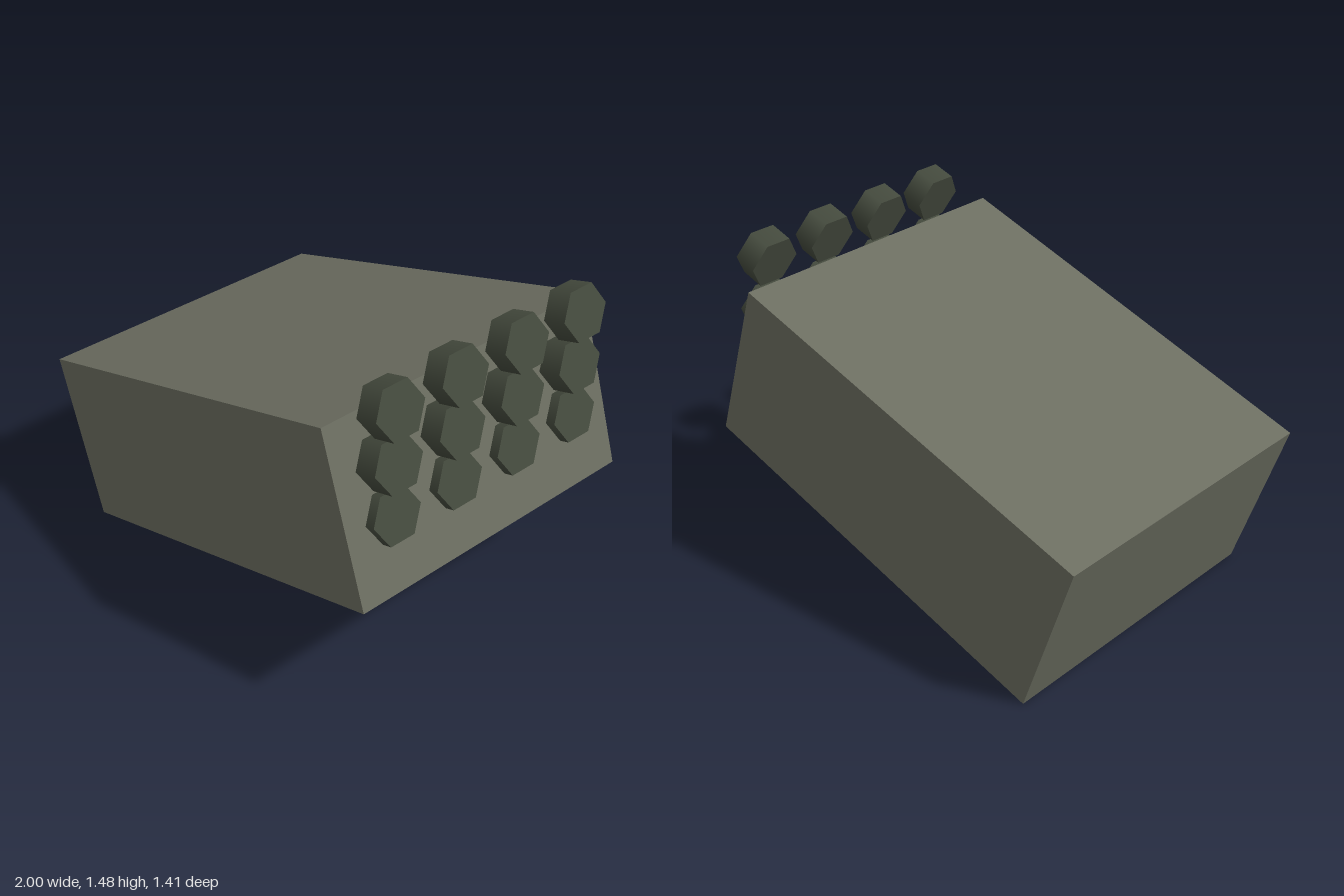
import * as THREE from 'three';

export function createModel() {
  const model = new THREE.Group();
  const tilt = Math.atan2(0.585, 1.76);

  const casing = new THREE.MeshStandardMaterial({ color: 0x6c6e61 });
  casing.name = 'olive grey casing';
  const dark = new THREE.MeshStandardMaterial({ color: 0x454b3e });
  dark.name = 'dark green tube';

  // Tilted box body
  const body = new THREE.Mesh(new THREE.BoxGeometry(1.855, 0.763, 1.414), casing);
  body.name = 'body';
  body.position.y = 0.653;
  body.rotation.z = tilt;
  model.add(body);

  // Three rows of four short hexagonal tubes, pointing along the body
  const tubes = new THREE.Group();
  tubes.name = 'tubes';
  const tubeShape = new THREE.CylinderGeometry(0.12, 0.12, 0.107, 6);
  for (let row = 0; row < 3; row++) {
    for (let col = 0; col < 4; col++) {
      const tube = new THREE.Mesh(tubeShape, dark);
      tube.name = `tube${row + 1}${col + 1}`;
      tube.position.set(0.892, 0.886 + row * 0.239, (col - 1.5) * 0.327);
      tube.rotation.z = tilt - Math.PI / 2;
      tubes.add(tube);
    }
  }
  model.add(tubes);

  return model;
}
